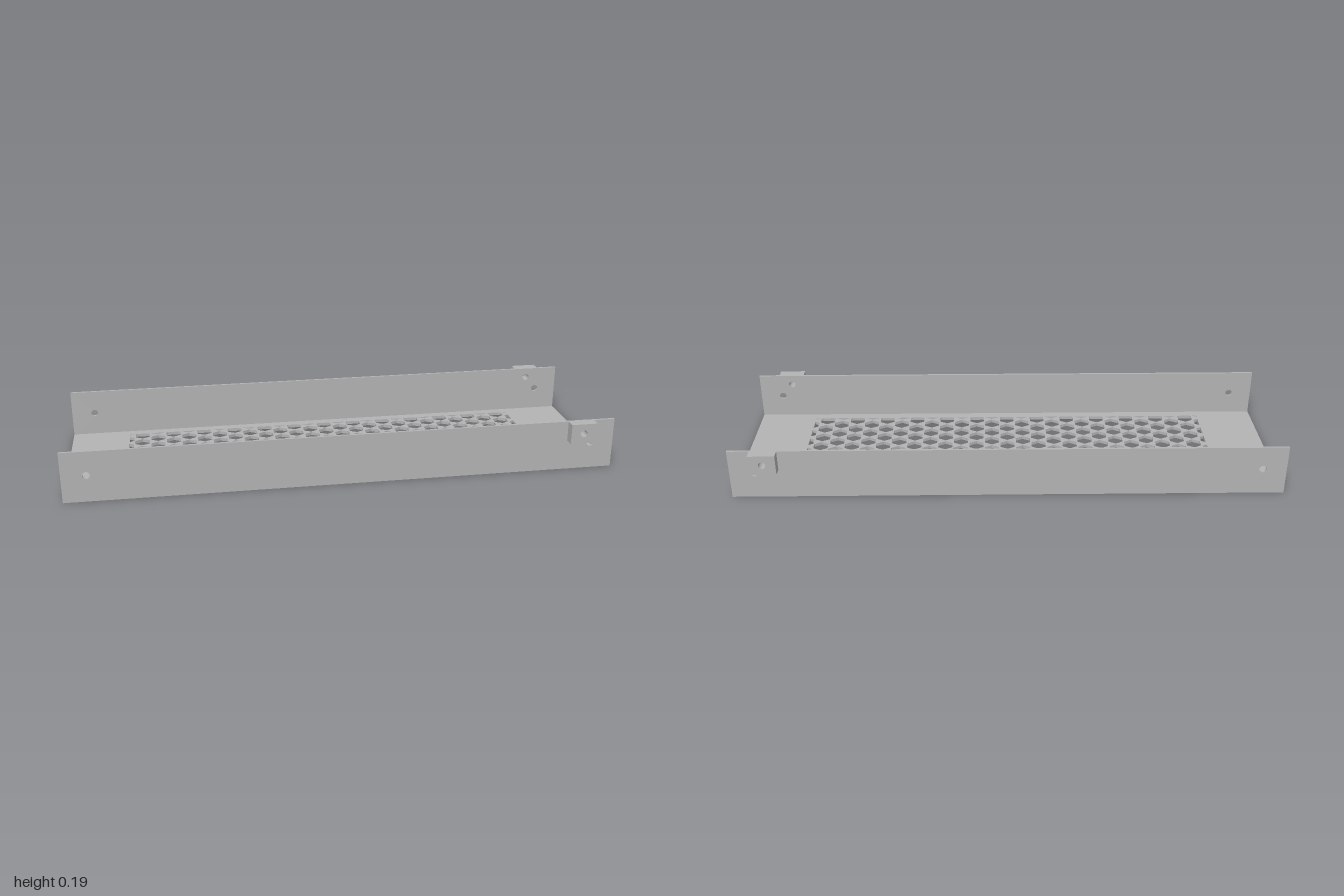
import * as THREE from 'three';

const HALF_LENGTH = 1, HEIGHT = 0.188;
const INNER = 0.3, OUTER = 0.309, FLOOR = 0.012;
const TAB = { x0: 0.823, x1: 0.92, y0: 0.113, depth: 0.036 };
const HOLE_RADIUS = 0.013;

function rectangle(x0, y0, x1, y1) {
  return new THREE.Shape([[x0, y0], [x1, y0], [x1, y1], [x0, y1]].map(p => new THREE.Vector2(...p)));
}

function addRoundHole(shape, x, y) {
  shape.holes.push(new THREE.Path().absarc(x, y, HOLE_RADIUS, 0, Math.PI * 2, true));
}

function extrude(shape, depth) {
  return new THREE.ExtrudeGeometry(shape, { depth, bevelEnabled: false, curveSegments: 20 });
}

// Keeps the part of a polygon where sign * p[axis] <= limit
function clip(points, axis, sign, limit) {
  const out = [];
  points.forEach((a, i) => {
    const b = points[(i + 1) % points.length];
    const da = limit - sign * a[axis], db = limit - sign * b[axis];
    if (da >= 0) out.push(a);
    if (da * db < 0) out.push(a.clone().lerp(b, da / (da - db)));
  });
  return out;
}

// Staggered hexagonal perforations trimmed to a rectangle
function perforate(shape) {
  const pitchX = 0.0608, pitchZ = 0.0702, radius = 0.032;
  const limitX = 0.78, limitZ = 0.265;
  for (let col = -13; col <= 13; col++) {
    const shift = col % 2 === 0 ? 0.5 : 0;
    for (let row = -5; row <= 5; row++) {
      const cx = col * pitchX, cz = (row + shift) * pitchZ;
      let hex = [];
      for (let k = 0; k < 6; k++) {
        const a = Math.PI / 2 - k * Math.PI / 3;
        hex.push(new THREE.Vector2(cx + radius * Math.cos(a), cz + radius * Math.sin(a)));
      }
      for (const sign of [-1, 1]) {
        hex = clip(hex, 'x', sign, limitX);
        hex = clip(hex, 'y', sign, limitZ);
      }
      if (hex.length > 2) shape.holes.push(new THREE.Path(hex));
    }
  }
}

export function createModel() {
  const group = new THREE.Group();
  group.name = 'perforatedTray';
  const metal = new THREE.MeshStandardMaterial({ color: 0xb3b3b3 });
  metal.name = 'grey metal';

  const add = (name, geometry, z = 0) => {
    const mesh = new THREE.Mesh(geometry, metal);
    mesh.name = name;
    mesh.position.z = z;
    group.add(mesh);
  };

  // Perforated floor
  const floorShape = rectangle(-HALF_LENGTH, -INNER, HALF_LENGTH, INNER);
  perforate(floorShape);
  add('floor', extrude(floorShape, FLOOR).rotateX(-Math.PI / 2));

  // Side walls with end holes and a hole behind each tab
  const tabX = (TAB.x0 + TAB.x1) / 2, tabY = (TAB.y0 + HEIGHT) / 2;
  const wallShape = rectangle(-HALF_LENGTH, 0, HALF_LENGTH, HEIGHT);
  for (const x of [-0.913, 0.913]) addRoundHole(wallShape, x, 0.099);
  addRoundHole(wallShape, tabX, tabY);
  const wall = extrude(wallShape, OUTER - INNER);
  add('frontWall', wall, INNER);
  add('backWall', wall, -OUTER);

  // Drilled mounting blocks outside the walls
  const tabShape = rectangle(TAB.x0, TAB.y0, TAB.x1, HEIGHT);
  addRoundHole(tabShape, tabX, tabY);
  const tab = extrude(tabShape, TAB.depth);
  add('frontMountingBlock', tab, OUTER);
  add('backMountingBlock', tab, -OUTER - TAB.depth);

  return group;
}
